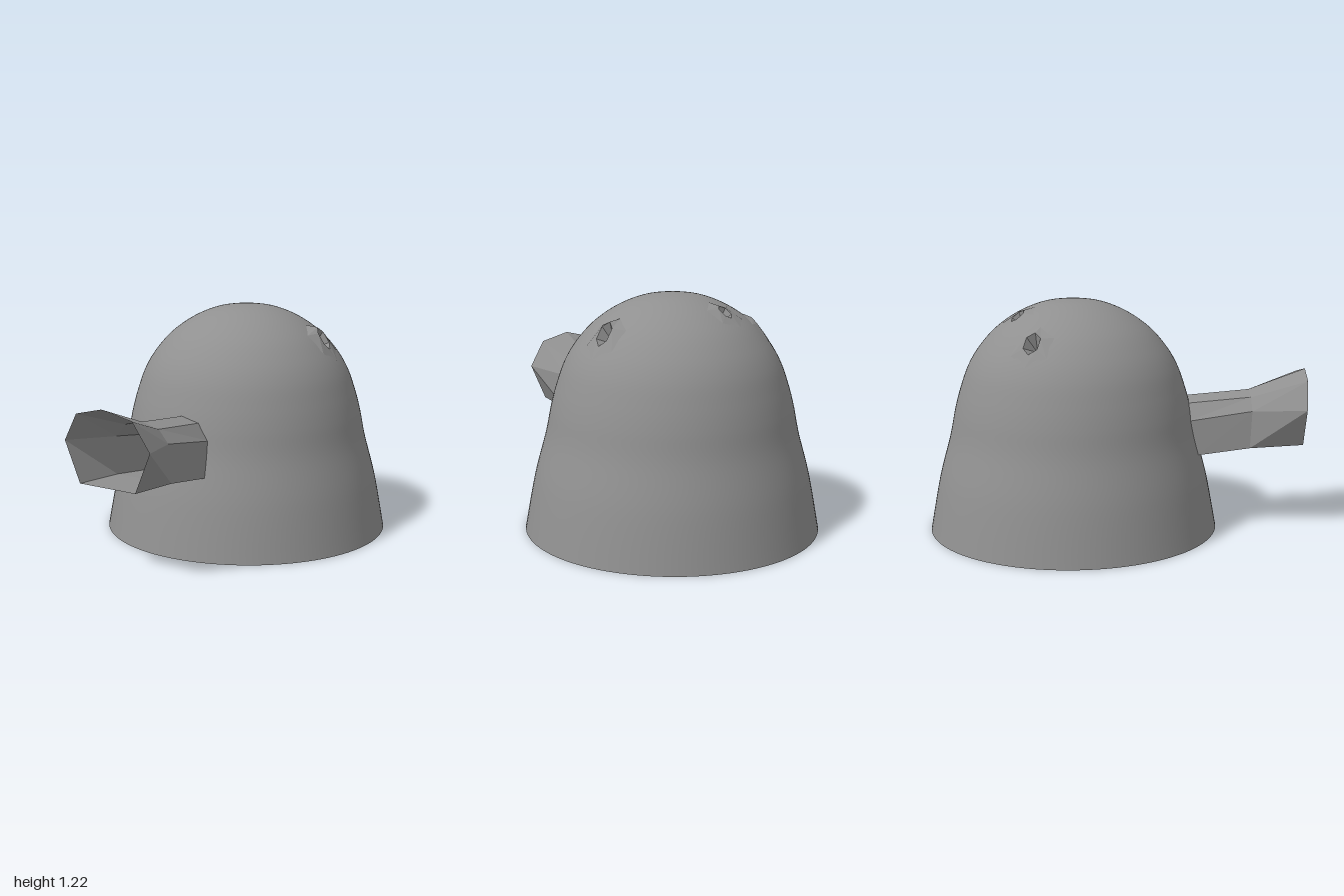
import * as THREE from 'three';

const CENTER_Z = -0.235;
const GREY = 0x909090;
const PROFILE = [
  [0.765, 0], [0.711, 0.28], [0.652, 0.5], [0.622, 0.645], [0.592, 0.755], [0.55, 0.87],
  [0.49, 0.97], [0.4, 1.069], [0.28, 1.151], [0.145, 1.203], [0, 1.22],
].map(([r, y]) => new THREE.Vector2(r, y));
const outline = new THREE.SplineCurve(PROFILE).getPoints(72);
outline[outline.length - 1].x = 0;

// Height of the dome at distance r from its axis
function domeHeight(r) {
  for (let i = outline.length - 1; i > 0; i--) {
    const a = outline[i], b = outline[i - 1];
    if (r <= b.x) return a.y + (b.y - a.y) * (r - a.x) / (b.x - a.x);
  }
  return 0;
}

const onDome = (x, z) => new THREE.Vector3(x, domeHeight(Math.hypot(x, z)), z);

// Skin closed rings of equal length; the second half of each ring mirrors the diagonals of the first
function loft(rings) {
  const n = rings[0].length, index = [];
  for (let k = 0; k < rings.length - 1; k++) {
    for (let i = 0; i < n; i++) {
      const a = k * n + i, b = k * n + (i + 1) % n;
      if (i > n / 2) index.push(a, b, b + n, a, b + n, a + n);
      else index.push(a, b, a + n, b, b + n, a + n);
    }
  }
  const geometry = new THREE.BufferGeometry().setFromPoints(rings.flat());
  geometry.setIndex(index);
  geometry.computeVertexNormals();
  return geometry;
}

// Pits in the crown: x, z (from the dome axis), half width, half height, lift of the upper lip
const PITS = [
  { x: -0.39, z: -0.195, width: 0.045, height: 0.062, lift: 0.016 },
  { x: -0.13, z: -0.275, width: 0.034, height: 0.045, lift: 0.014 },
  { x: 0.42, z: -0.075, width: 0.045, height: 0.065, lift: 0.032 },
].map((p) => {
  const center = onDome(p.x, p.z), e = 0.01;
  const dx = onDome(p.x + e, p.z).sub(onDome(p.x - e, p.z));
  const dz = onDome(p.x, p.z + e).sub(onDome(p.x, p.z - e));
  return { ...p, center, normal: dz.cross(dx).normalize() };
});

// Tall hexagonal pit with a faceted collar that meets the dome
function pitGeometry({ center, normal, width, height, lift }) {
  const side = new THREE.Vector3(0, 1, 0).cross(normal).normalize();
  const up = normal.clone().cross(side);
  const ring = (w, h, low, high) => Array.from({ length: 6 }, (_, i) => {
    const a = (i + 0.5) * Math.PI / 3;
    const p = center.clone().addScaledVector(side, w * Math.cos(a)).addScaledVector(up, h * Math.sin(a));
    p.y = domeHeight(Math.hypot(p.x, p.z));
    return p.addScaledVector(normal, low + (high - low) * (1 + Math.sin(a)) / 2);
  });
  return loft([
    ring(width + 0.07, height + 0.06, 0.002, 0.002),
    ring(width, height, 0.003, lift),
    ring(0.002, 0.002, -0.07, -0.07),
  ]);
}

export function createModel() {
  const model = new THREE.Group();
  model.name = 'domedHouse';
  const smooth = new THREE.MeshStandardMaterial({ color: GREY });
  const faceted = new THREE.MeshStandardMaterial({ color: GREY, flatShading: true, side: THREE.DoubleSide });
  const add = (parent, geometry, material, name) => {
    const mesh = new THREE.Mesh(geometry, material);
    mesh.name = name;
    parent.add(mesh);
  };

  const body = new THREE.Group();
  body.name = 'body';
  body.position.z = CENTER_Z;
  model.add(body);

  // Dome shell, opened where the pits sink in
  const shell = new THREE.LatheGeometry(outline, 120);
  const pos = shell.attributes.position, src = shell.index.array, kept = [];
  const mid = new THREE.Vector3(), v = new THREE.Vector3();
  for (let i = 0; i < src.length; i += 3) {
    mid.set(0, 0, 0);
    for (let j = 0; j < 3; j++) mid.add(v.fromBufferAttribute(pos, src[i + j]));
    mid.divideScalar(3);
    if (PITS.every((p) => mid.distanceTo(p.center) > p.height + 0.005)) kept.push(src[i], src[i + 1], src[i + 2]);
  }
  shell.setIndex(kept);
  add(body, shell, smooth, 'dome');

  // Flat underside
  add(body, new THREE.CircleGeometry(0.765, 120).rotateX(Math.PI / 2), smooth, 'underside');

  PITS.forEach((p, i) => add(body, pitGeometry(p), faceted, `pit${i + 1}`));

  // Seven-sided flared entrance: half sections as x, y, z, mirrored across x
  const sections = [
    [[0, 0.7, 0.36], [0.1, 0.675, 0.36], [0.16, 0.59, 0.36], [0.17, 0.41, 0.41]],
    [[0, 0.73, 0.7], [0.1, 0.705, 0.7], [0.157, 0.64, 0.7], [0.165, 0.445, 0.69]],
    [[0, 0.84, 1], [0.165, 0.8, 0.985], [0.252, 0.66, 0.97], [0.165, 0.46, 0.97]],
  ].map(([top, ...half]) => [
    new THREE.Vector3(...top),
    ...half.map(([x, y, z]) => new THREE.Vector3(-x, y, z)),
    ...half.reverse().map(([x, y, z]) => new THREE.Vector3(x, y, z)),
  ]);
  add(model, loft(sections), faceted, 'entranceTunnel');

  return model;
}
